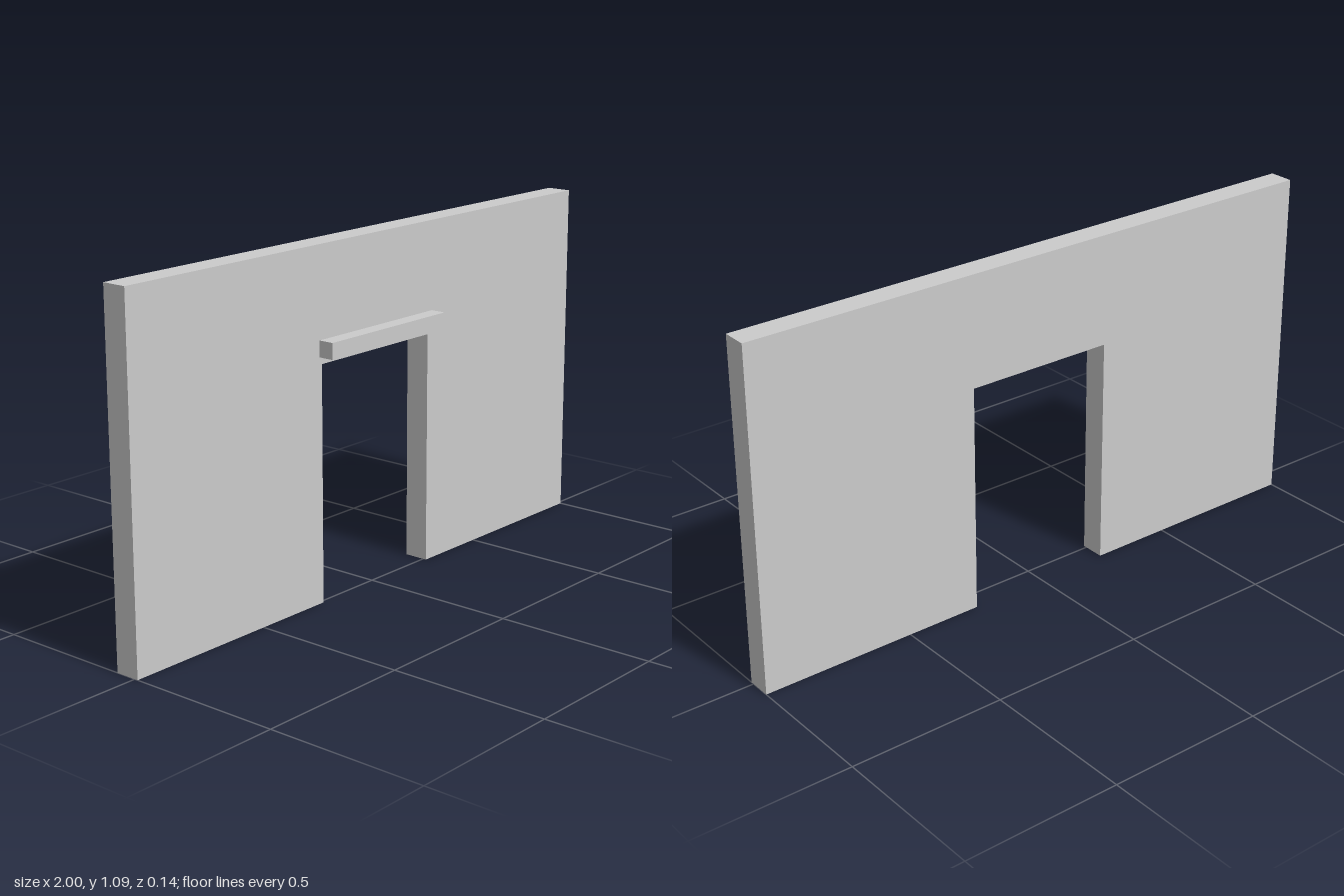
import * as THREE from 'three';

export function createModel() {
  const group = new THREE.Group();
  const material = new THREE.MeshStandardMaterial({ color: 0xcccccc, flatShading: true });

  // Wall slab with a doorway cut up from its base
  const left = -0.238, right = 0.253, doorTop = 0.734, height = 1.087;
  const outline = new THREE.Shape([
    [-1, 0], [left, 0], [left, doorTop], [right, doorTop],
    [right, 0], [1, 0], [1, height], [-1, height],
  ].map(([x, y]) => new THREE.Vector2(x, y)));
  const wall = new THREE.Mesh(
    new THREE.ExtrudeGeometry(outline, { depth: 0.079, bevelEnabled: false }), material);
  wall.name = 'wallWithDoorway';
  wall.position.z = -0.068;
  group.add(wall);

  // Bar held just in front of the wall, above the doorway
  const bar = new THREE.Mesh(new THREE.BoxGeometry(0.52, 0.05, 0.049), material);
  bar.name = 'lintelBar';
  bar.position.set(0.003, 0.784, 0.0435);
  group.add(bar);

  return group;
}
